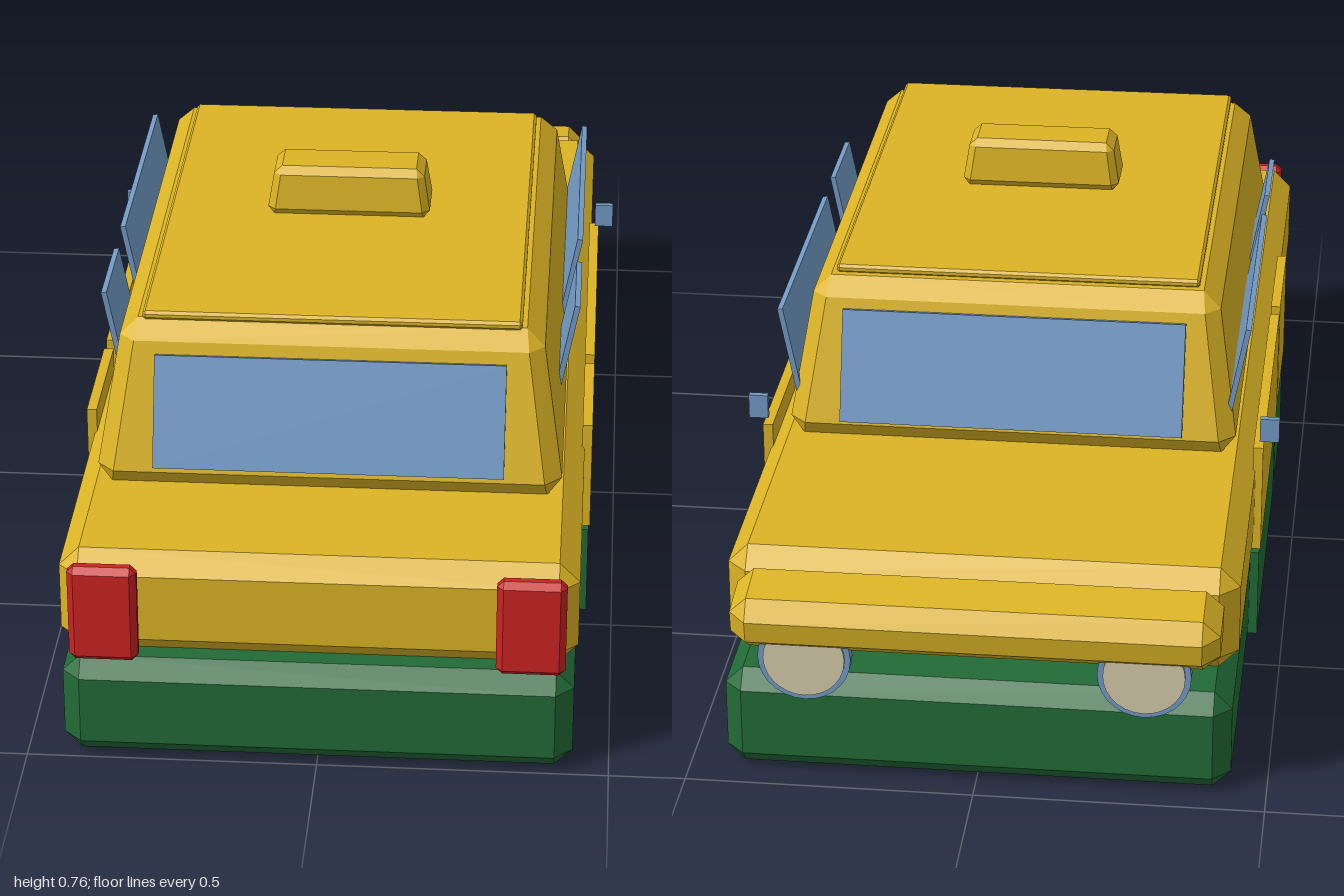
import * as THREE from 'three';
import { ConvexGeometry } from 'three/addons/geometries/ConvexGeometry.js';

const material = (name, color) => {
  const m = new THREE.MeshStandardMaterial({ color });
  m.name = name;
  return m;
};

// Box with chamfered edges; its top may be narrowed by [scaleX, scaleZ].
function bevelBox(w, h, d, c, top = [1, 1]) {
  const points = [];
  const half = [w / 2, h / 2, d / 2];
  for (const sx of [-1, 1]) for (const sy of [-1, 1]) for (const sz of [-1, 1]) {
    for (let axis = 0; axis < 3; axis++) {
      const p = half.map((v, i) => (i === axis ? v : v - c));
      const y = sy * p[1], t = y / h + 0.5;
      points.push(new THREE.Vector3(
        sx * p[0] * (1 + (top[0] - 1) * t), y, sz * p[2] * (1 + (top[1] - 1) * t)));
    }
  }
  return new ConvexGeometry(points);
}

export function createModel() {
  const yellow = material('taxi yellow', 0xdcb425);
  const green = material('dark green', 0x226b37);
  const blue = material('glass blue', 0x739bc6);
  const red = material('lamp red', 0xcc2222);
  const cream = material('lens cream', 0xd6caaa);

  const car = new THREE.Group();
  car.name = 'taxi';
  const add = (name, geometry, mat, x, y, z) => {
    const mesh = new THREE.Mesh(geometry, mat);
    mesh.name = name;
    mesh.position.set(x, y, z);
    car.add(mesh);
    return mesh;
  };

  // Body, nose at -z and tail at +z
  add('lowerBody', bevelBox(0.875, 0.185, 1.955, 0.031), green, 0, 0.0925, 0.0225);
  add('upperBody', bevelBox(0.885, 0.192, 1.84, 0.035), yellow, 0, 0.281, 0.05);
  add('noseLip', bevelBox(0.835, 0.1, 0.145, 0.03), yellow, 0, 0.305, -0.926).rotation.x = -0.15;

  // Cabin and roof
  add('cabin', bevelBox(0.82, 0.28, 1.15, 0.03, [0.89, 0.845]), yellow, 0, 0.515, 0.15);
  add('roofPanel', bevelBox(0.66, 0.016, 0.92, 0.005), yellow, 0, 0.661, 0.16);
  add('roofSign', bevelBox(0.3, 0.092, 0.12, 0.014, [0.9, 0.8]), yellow, 0, 0.714, 0.15);

  // Front and rear glass
  add('windshield', new THREE.BoxGeometry(0.62, 0.205, 0.016), blue, 0, 0.512, -0.391).rotation.x = 0.31;
  add('rearWindow', new THREE.BoxGeometry(0.61, 0.198, 0.016), blue, 0, 0.512, 0.69).rotation.x = -0.34;

  for (const [side, s] of [['left', 1], ['right', -1]]) {
    // Side panes lean outward at the top
    for (const [place, z, length] of [['Front', -0.112, 0.525], ['Rear', 0.337, 0.185]]) {
      add(side + place + 'Window', new THREE.BoxGeometry(0.01, 0.18, length), blue,
        s * 0.406, 0.522, z).rotation.z = -s * 0.19;
    }

    // Door panels above and sills below
    for (const [place, z, length] of [['Front', -0.11, 0.58], ['Rear', 0.338, 0.245]]) {
      add(side + place + 'Door', new THREE.BoxGeometry(0.018, 0.205, length), yellow, s * 0.447, 0.287, z);
      add(side + place + 'Sill', new THREE.BoxGeometry(0.017, 0.168, length), green, s * 0.445, 0.092, z);
    }

    add(side + 'Mirror', new THREE.BoxGeometry(0.035, 0.045, 0.012), blue, s * 0.466, 0.418, -0.38);
    add(side + 'TailLight', bevelBox(0.118, 0.18, 0.034, 0.011), red, s * 0.363, 0.28, 0.983);

    // Headlights tucked under the nose lip
    const rim = add(side + 'HeadlightRim', new THREE.CylinderGeometry(0.08, 0.08, 0.022, 28), blue,
      s * 0.29, 0.24, -0.968);
    rim.rotation.x = -Math.PI / 2;
    const lens = add(side + 'HeadlightLens', new THREE.CylinderGeometry(0.07, 0.07, 0.006, 28), cream,
      s * 0.29, 0.24, -0.981);
    lens.rotation.x = -Math.PI / 2;
  }

  return car;
}
